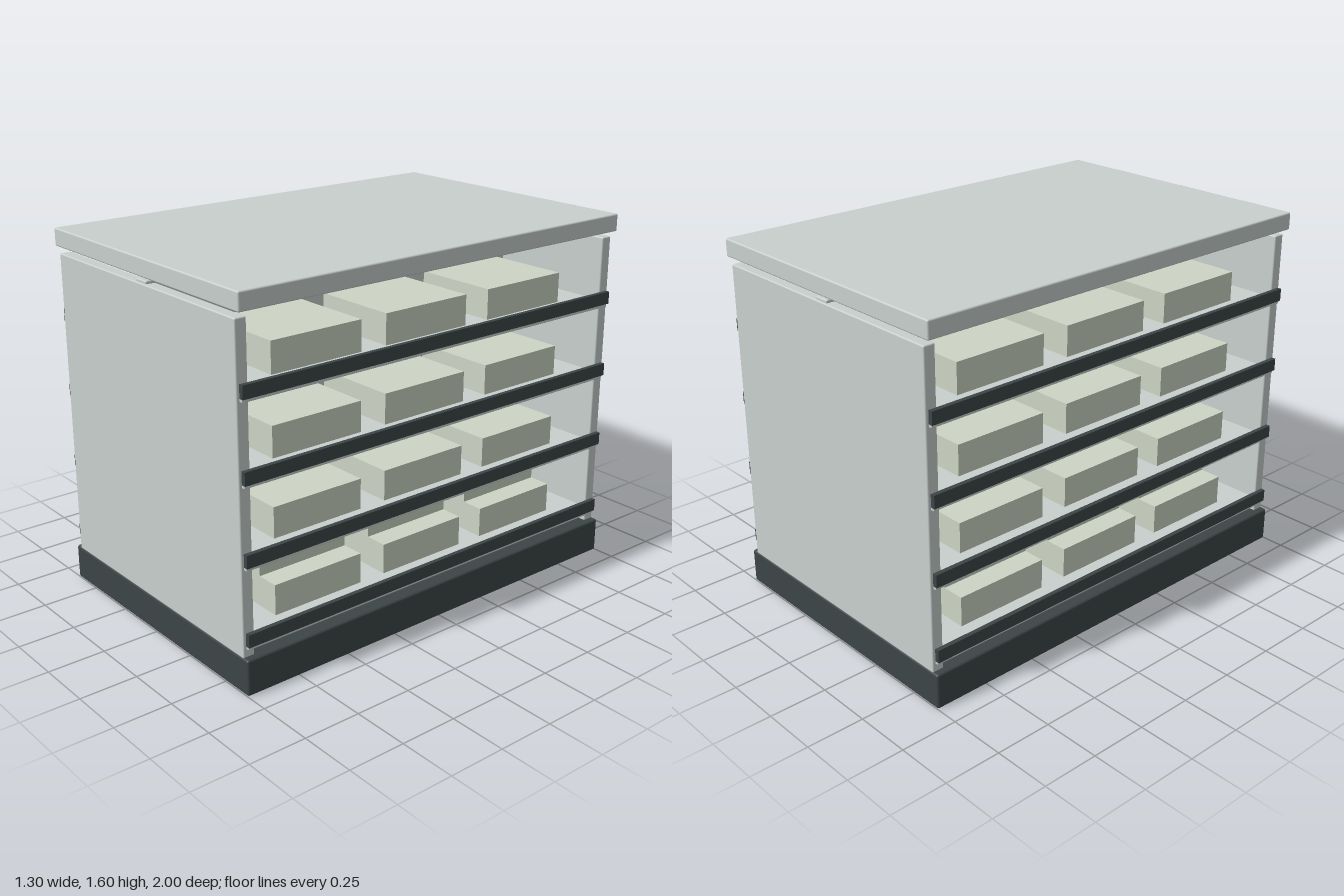
import * as THREE from 'three';
import { RoundedBoxGeometry } from 'three/addons/geometries/RoundedBoxGeometry.js';

const material = (color) => new THREE.MeshStandardMaterial({ color });

export function createModel() {
  const group = new THREE.Group();
  const panelMat = material(0xc8d0ce);
  const darkMat = material(0x3c4547);
  const stockMat = material(0xcdd5c5);

  // Box given by its [min, max] range on each axis; radius > 0 softens the edges
  function block(name, [x0, x1], [y0, y1], [z0, z1], mat, radius = 0) {
    const size = [x1 - x0, y1 - y0, z1 - z0];
    const geometry = radius
      ? new RoundedBoxGeometry(...size, 2, radius)
      : new THREE.BoxGeometry(...size);
    const mesh = new THREE.Mesh(geometry, mat);
    mesh.name = name;
    mesh.position.set((x0 + x1) / 2, (y0 + y1) / 2, (z0 + z1) / 2);
    group.add(mesh);
  }

  // Mirrored range for the -x or -z side
  const range = (a, b, side) => (side > 0 ? [a, b] : [-b, -a]);

  // Plinth, central divider and raised canopy
  block('base', [-0.65, 0.65], [0, 0.155], [-1, 1], darkMat, 0.01);
  block('centrePanel', [-0.035, 0.035], [0.15, 1.505], [-0.99, 0.99], panelMat, 0.006);
  block('canopy', [-0.65, 0.65], [1.518, 1.595], [-1, 1], panelMat, 0.007);

  // End panels
  for (const side of [1, -1]) {
    block('endPanel', [-0.62, 0.62], [0.15, 1.492], range(0.945, 0.997, side), panelMat, 0.006);
  }

  // Four shelves per side, each with a dark edge strip and three boxes
  for (const side of [1, -1]) {
    for (let row = 0; row < 4; row++) {
      const y = 0.187 + row * 0.331;
      block('shelf', range(0.03, 0.634, side), [y, y + 0.036], [-0.983, 0.983], panelMat, 0.004);
      block('shelfEdge', range(0.622, 0.642, side), [y + 0.015, y + 0.07], [-0.985, 0.985], darkMat);
      for (const z of [-0.56, 0, 0.56]) {
        const zRange = [z - 0.217, z + 0.217];
        block('stockBox', range(0.14, 0.53, side), [y + 0.034, y + 0.167], zRange, stockMat);
        // Taller stock at the back of the lowest shelf
        if (row === 0) {
          block('rearStockBox', range(0.15, 0.43, side), [y + 0.034, y + 0.228], zRange, stockMat);
        }
      }
    }
  }

  return group;
}
